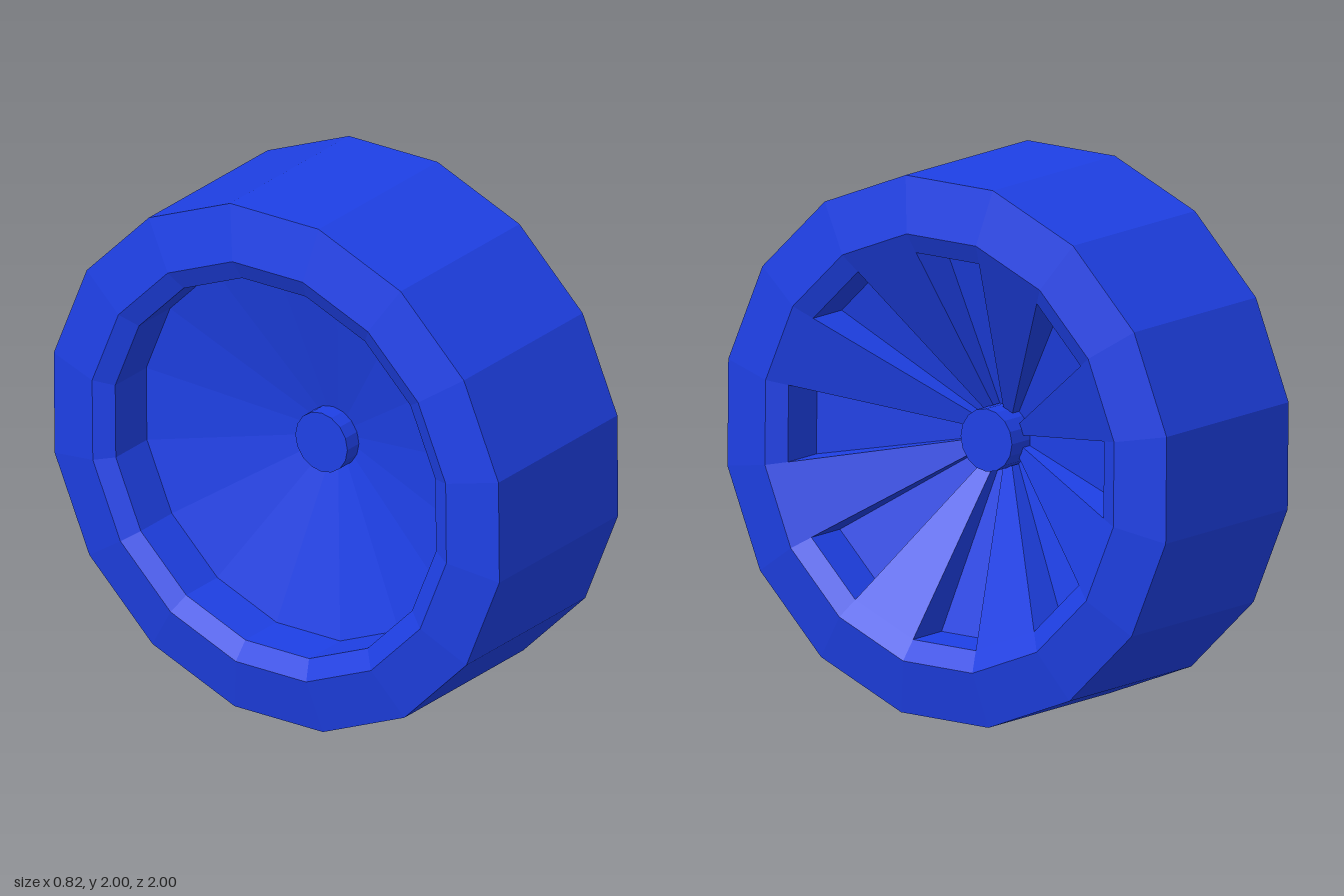
import * as THREE from 'three';

const SIDES = 16;
const STEP = (Math.PI * 2) / SIDES;
const FLAT = 1 / Math.cos(STEP / 2); // turns a flat-to-centre distance into a corner radius
const START = STEP / 2 - 0.01;

// Wheel faces as [radius, x] pairs
const RIM = [0.72, 0.371], FLOOR = [0.72, 0.2];
const HUB_TOP = [0.115, 0.06], HUB_FLOOR = [0.115, 0.02];

const material = new THREE.MeshStandardMaterial({ color: 0x1e40e6, flatShading: true });

function part(name, geometry) {
  const mesh = new THREE.Mesh(geometry, material);
  mesh.name = name;
  return mesh;
}

// Turn a profile of [radius, x] pairs around the x axis
function turned(profile) {
  const points = profile.map(([r, x]) => new THREE.Vector2(r * FLAT, x));
  return new THREE.LatheGeometry(points, SIDES, START).rotateZ(-Math.PI / 2);
}

// Raised spoke: sloping face and two side walls standing on the dish
function spokeGeometry(phi) {
  const corner = ([r, x], a) => [x, -r * FLAT * Math.sin(a), r * FLAT * Math.cos(a)];
  const ring = (a) => [HUB_FLOOR, FLOOR, RIM, HUB_TOP].map((p) => corner(p, a));
  const [c0, d0, a0, b0] = ring(phi);
  const [c1, d1, a1, b1] = ring(phi + STEP);
  const positions = [];
  for (const [p, q, r, s] of [[a0, a1, b1, b0], [c0, d0, a0, b0], [c1, b1, a1, d1]]) {
    positions.push(...p, ...q, ...r, ...p, ...r, ...s);
  }
  const geometry = new THREE.BufferGeometry();
  geometry.setAttribute('position', new THREE.Float32BufferAttribute(positions, 3));
  geometry.computeVertexNormals();
  return geometry;
}

export function createModel() {
  const wheel = new THREE.Group();
  wheel.name = 'wheel';
  wheel.position.y = 1;

  // Tyre with bevelled sidewalls
  wheel.add(part('tyre', turned([[0.795, -0.41], [1, -0.365], [1, 0.365], [0.795, 0.41]])));

  // Hollow back and recessed front dish
  wheel.add(part('backDish', turned([[0.1, -0.015], [0.72, -0.18], [0.72, -0.371], [0.795, -0.41]])));
  wheel.add(part('frontDish', turned([[0.795, 0.41], RIM, FLOOR, HUB_FLOOR])));

  // Eight spokes between the recesses
  const spokes = new THREE.Group();
  spokes.name = 'spokes';
  for (let i = 0; i < SIDES; i += 2) spokes.add(part('spoke', spokeGeometry(START + i * STEP)));
  wheel.add(spokes);

  // Axle hub through the centre
  const hub = part('hub', new THREE.CylinderGeometry(0.117, 0.117, 0.22, SIDES).rotateZ(-Math.PI / 2));
  hub.position.x = 0.02;
  wheel.add(hub);

  const model = new THREE.Group();
  model.add(wheel);
  return model;
}
